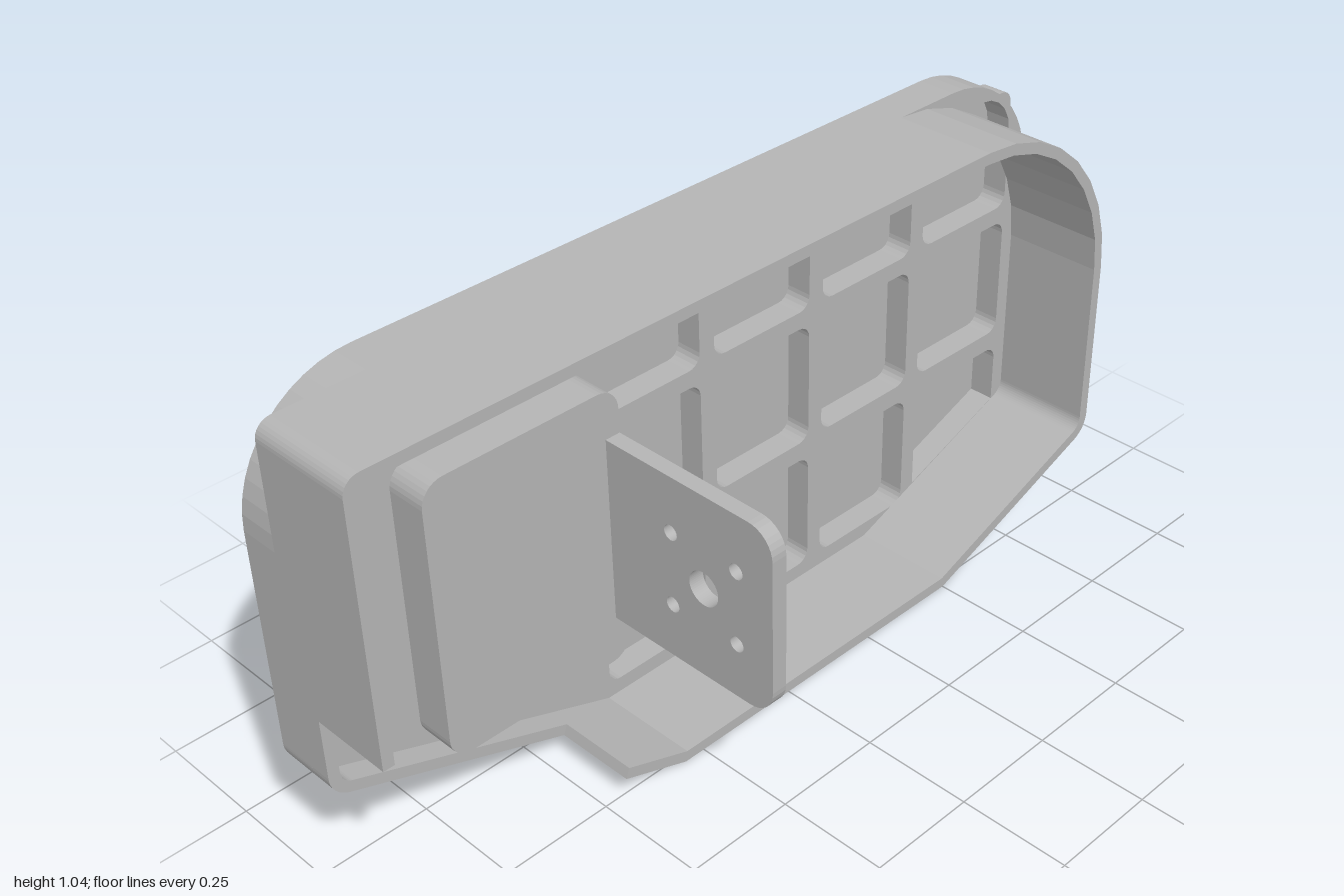
import * as THREE from 'three';

const WALL = 0.025;
const BACK = -0.305, POCKET_FLOOR = -0.275, PLATE_FRONT = -0.215, NOTCH = -0.165, RIM = 0.02;

// Rounds the corners [x, y, radius] of a counter-clockwise convex polygon.
function rounded(corners, steps = 8) {
  const n = corners.length, out = [];
  corners.forEach(([x, y, r = 0], i) => {
    const p = new THREE.Vector2(x, y);
    if (!r) { out.push(p); return; }
    const a = corners[(i + n - 1) % n], b = corners[(i + 1) % n];
    const d1 = new THREE.Vector2(x - a[0], y - a[1]).normalize();
    const d2 = new THREE.Vector2(b[0] - x, b[1] - y).normalize();
    const turn = Math.acos(THREE.MathUtils.clamp(d1.dot(d2), -1, 1));
    const start = p.clone().addScaledVector(d1, -r * Math.tan(turn / 2));
    const cx = start.x - d1.y * r, cy = start.y + d1.x * r;
    const a0 = Math.atan2(-d1.x, d1.y);
    for (let k = 0; k <= steps; k++) {
      const t = a0 + turn * k / steps;
      out.push(new THREE.Vector2(cx + r * Math.cos(t), cy + r * Math.sin(t)));
    }
  });
  return out;
}

// Moves the corners inward by t.
function inset(corners, t) {
  const n = corners.length;
  return corners.map(([x, y, r = 0], i) => {
    const a = corners[(i + n - 1) % n], b = corners[(i + 1) % n];
    const n1 = new THREE.Vector2(-(y - a[1]), x - a[0]).normalize();
    const n2 = new THREE.Vector2(-(b[1] - y), b[0] - x).normalize();
    const k = t / (1 + n1.dot(n2));
    return [x + (n1.x + n2.x) * k, y + (n1.y + n2.y) * k, r ? Math.max(r - t, 0.012) : 0];
  });
}

const rect = (x0, y0, x1, y1, r, rTopRight = r) =>
  [[x0, y0, r], [x1, y0, r], [x1, y1, rTopRight], [x0, y1, r]];

export function createModel() {
  const group = new THREE.Group();
  const grey = new THREE.MeshStandardMaterial({ color: 0xb4b4b4 });
  grey.name = 'grey';

  function slab(name, points, z0, z1, holes = []) {
    const shape = new THREE.Shape(points);
    holes.forEach(h => shape.holes.push(new THREE.Path(h)));
    const geometry = new THREE.ExtrudeGeometry(shape, { depth: z1 - z0, bevelEnabled: false, curveSegments: 24 });
    geometry.translate(0, 0, z0);
    const mesh = new THREE.Mesh(geometry, grey);
    mesh.name = name;
    group.add(mesh);
    return mesh;
  }

  // Back plate: solid skin plus a layer with the pocket grid
  const plate = rounded([
    [-0.3, 0], [0.5, 0], [1, 0.19, 0.06], [1, 1.045, 0.26], [-1, 1.045, 0.26], [-1, 0.26, 0.06],
  ], 12);
  const columns = [[-0.29, -0.01], [0.03, 0.305], [0.345, 0.62], [0.66, 0.94]];
  const rows = [[0.06, 0.34], [0.385, 0.67], [0.71, 0.99]];
  const pockets = [];
  columns.forEach(([x0, x1], c) => rows.forEach(([y0, y1], r) => {
    if (c === 3 && r === 0) {
      // Corner pocket follows the sloping bottom edge
      pockets.push(rounded([[x0, 0.09], [x1, 0.195], [x1, y1, 0.03], [x0, y1, 0.03]], 5));
    } else {
      pockets.push(rounded(rect(x0, y0, x1, y1, 0.03, c === 3 && r === 2 ? 0.1 : 0.03), 5));
    }
  }));
  slab('backSkin', plate, BACK, POCKET_FLOOR);
  slab('pocketGrid', plate, POCKET_FLOOR, PLATE_FRONT, pockets);
  slab('cornerBump', rounded([[0.94, 0.93], [0.94, 0.99, 0.03], [0.88, 0.99]], 5),
    POCKET_FLOOR, PLATE_FRONT - 0.001);

  // Outer wall: full low ring, then a tall part with the lower corner left open
  const wall = [
    [-0.46, 0.0594], [-0.3, 0], [0.5, 0], [1, 0.19, 0.06], [1, 1.045, 0.425],
    [-1, 1.045, 0.035], [-1, 0.44], [-1, 0.26, 0.06],
  ];
  const inner = inset(wall, WALL);
  slab('lowWall', rounded(wall), PLATE_FRONT, NOTCH, [rounded(inner)]);
  const outerRun = rounded(wall.slice(0, 7));
  const innerRun = rounded(inner.slice(0, 7)).reverse();
  slab('tallWall', [...outerRun, ...innerRun], NOTCH, RIM);

  // Raised mounting pad
  slab('mountingPad', rounded(rect(-0.76, 0.21, -0.305, 0.84, 0.05)), PLATE_FRONT, -0.125);

  // Upright bracket, drawn in (-z, y) and turned to face sideways
  const circle = (x, y, r) => new THREE.Path().absarc(x, y, r, 0, Math.PI * 2).getPoints(28);
  const holes = [circle(-0.128, 0.523, 0.038)];
  for (const z of [0.043, 0.213]) for (const y of [0.44, 0.608]) holes.push(circle(-z, y, 0.017));
  const bracket = slab('bracket',
    rounded([[-0.305, 0.315, 0.06], [0.125, 0.315], [0.125, 0.735], [-0.305, 0.735, 0.06]]),
    0, 0.035, holes);
  bracket.rotation.y = Math.PI / 2;
  bracket.position.x = -0.34;

  return group;
}
